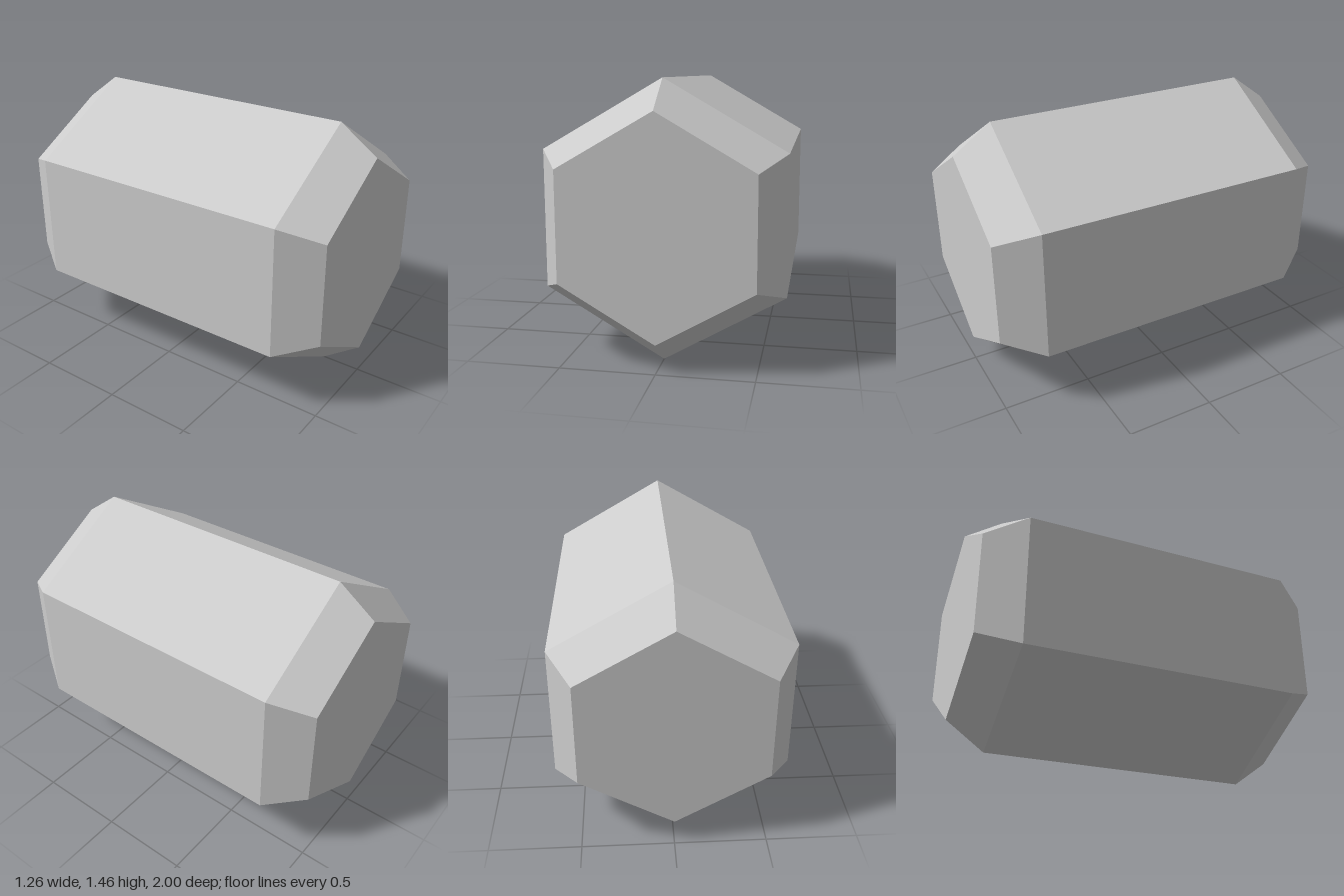
import * as THREE from 'three';

const SIDES = 6;
const RADIUS = 0.73;       // prism, corner to centre
const END_RADIUS = 0.577;  // flat end faces
const BEVEL_Z = 0.785;     // where the bevel starts
const END_Z = 1;

export function createModel() {
  const model = new THREE.Group();
  model.name = 'bevelledHexagonalPrism';
  const grey = new THREE.MeshStandardMaterial({ color: 0xcccccc, flatShading: true });
  grey.name = 'light grey';

  const add = (name, geometry) => {
    const mesh = new THREE.Mesh(geometry, grey);
    mesh.name = name;
    mesh.position.y = RADIUS;
    model.add(mesh);
    return mesh;
  };

  // Six long sides with a bevel at both ends, corners pointing up and down
  const profile = [
    [END_RADIUS, -END_Z], [RADIUS, -BEVEL_Z], [RADIUS, BEVEL_Z], [END_RADIUS, END_Z],
  ].map(([r, y]) => new THREE.Vector2(r, y));
  add('sidesAndBevels', new THREE.LatheGeometry(profile, SIDES).rotateX(Math.PI / 2));

  // Flat hexagonal ends
  for (const [name, sign] of [['frontEnd', 1], ['backEnd', -1]]) {
    const end = add(name, new THREE.CircleGeometry(END_RADIUS, SIDES, Math.PI / 2));
    end.position.z = sign * END_Z;
    if (sign < 0) end.rotation.y = Math.PI;
  }
  return model;
}
